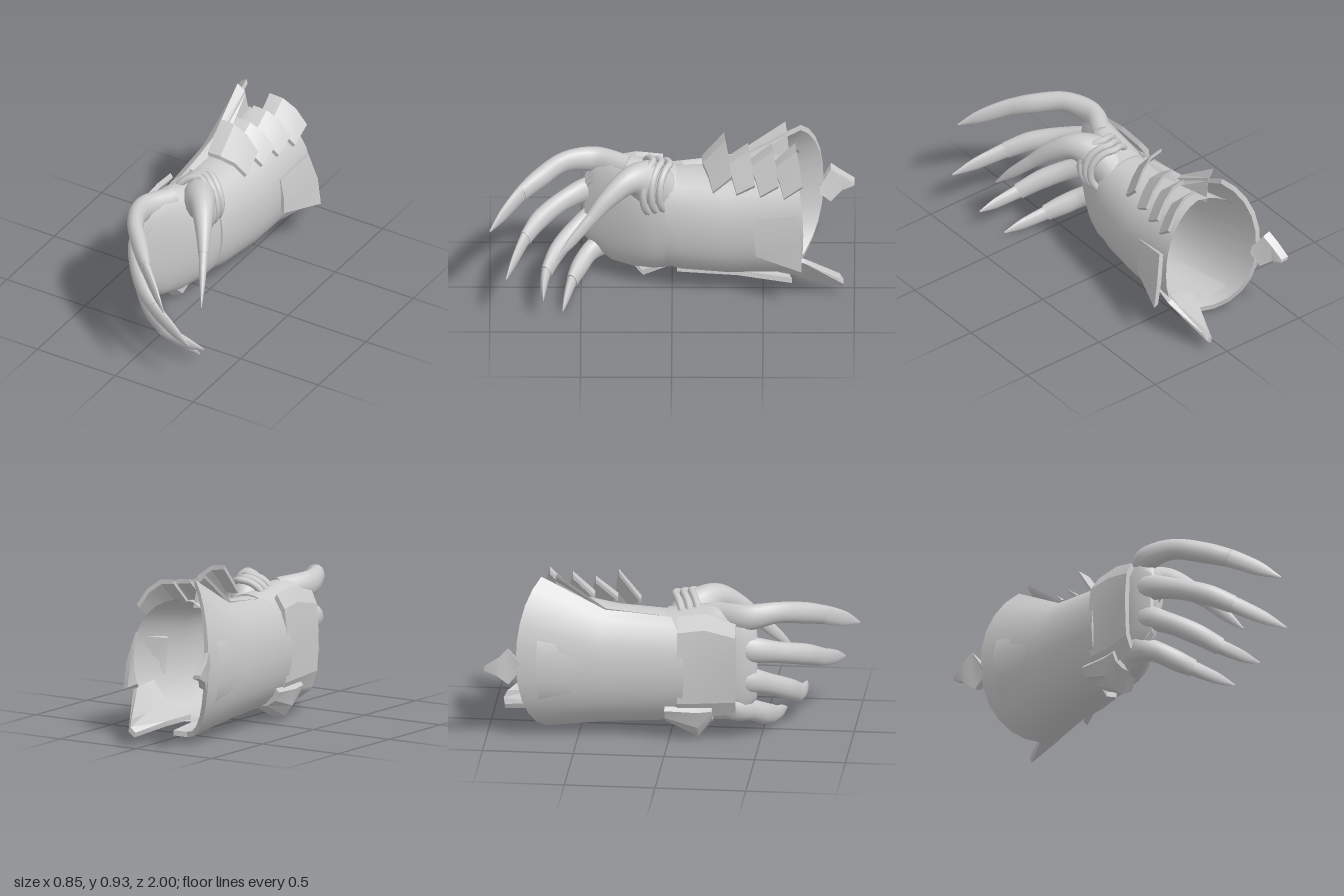
import * as THREE from 'three';
import { toCreasedNormals } from 'three/addons/utils/BufferGeometryUtils.js';

const V = (x, y, z) => new THREE.Vector3(x, y, z);
const material = new THREE.MeshStandardMaterial({ color: 0xcccccc, side: THREE.DoubleSide });

function named(name, geometry) {
  const mesh = new THREE.Mesh(geometry, material);
  mesh.name = name;
  return mesh;
}

// Skin a list of closed rings; ends are closed by strips between opposite points
function skin(name, rings, crease, openStart = false) {
  const n = rings[0].length, index = [];
  for (let r = 0; r < rings.length - 1; r++) {
    for (let i = 0; i < n; i++) {
      const a = r * n + i, b = r * n + (i + 1) % n;
      index.push(a, b, a + n, b, b + n, a + n);
    }
  }
  const last = (rings.length - 1) * n;
  for (let i = 0; i < n / 2 - 1; i++) {
    const j = n - 1 - i;
    index.push(last + i, last + i + 1, last + j - 1, last + i, last + j - 1, last + j);
    if (!openStart) index.push(i, j - 1, i + 1, i, j, j - 1);
  }
  const geometry = new THREE.BufferGeometry().setFromPoints(rings.flat());
  geometry.setIndex(index);
  return named(name, toCreasedNormals(geometry, crease));
}

// Points from angle a0 to a1 (degrees) on an oval; bulge shifts z toward the sides
function arc([z, cx, cy, rx, ry, bulge = 0], a0, a1, count, power = 1) {
  const round = v => Math.sign(v) * Math.abs(v) ** power;
  return Array.from({ length: count + 1 }, (_, i) => {
    const a = THREE.MathUtils.degToRad(a0 + (a1 - a0) * i / count);
    const c = Math.cos(a), s = Math.sin(a);
    return V(cx + rx * round(c), cy + ry * round(s), z + bulge * Math.abs(c));
  });
}

// Closed body through ovals along z
const body = (name, sections, open) =>
  skin(name, sections.map(s => arc(s, 0, 360, 32, 0.9).slice(0, -1)), 0.9, open);

// Armour plate: rows of outer points, thickened toward the arm's axis
function plate(name, rows, thickness = 0.03, crease = 0.3) {
  const rings = rows.map(outer => {
    const inner = outer.map(p => {
      const inward = V(-0.07 - p.x, 0.43 - p.y, 0).normalize();
      return p.clone().addScaledVector(inward, thickness);
    });
    return [...outer, ...inner.reverse()];
  });
  return skin(name, rings, crease);
}

// Tapered limb through points, with [half thickness, half height] at each
function limb(name, points, sizes, steps = 20, sides = 14) {
  const path = new THREE.CatmullRomCurve3(points);
  const size = new THREE.CatmullRomCurve3(sizes.map(([w, h], i) => V(w, h, i)));
  const rings = [];
  for (let k = 0; k <= steps; k++) {
    const p = path.getPoint(k / steps), s = size.getPoint(k / steps);
    const tangent = path.getTangent(k / steps);
    const side = V(0, 1, 0).cross(tangent).normalize();
    const up = tangent.clone().cross(side);
    rings.push(Array.from({ length: sides }, (_, i) => {
      const a = i / sides * Math.PI * 2;
      return p.clone().addScaledVector(side, Math.cos(a) * s.x).addScaledVector(up, Math.sin(a) * s.y);
    }));
  }
  return skin(name, rings, 0.8);
}

// Digit: fleshy part through the bones, then a claw curving on to the tip
function digit(name, bones, tip, sizes, clawHeight) {
  const group = new THREE.Group();
  group.name = name;
  const [previous, base] = bones.slice(-2);
  const start = base.clone().lerp(previous, 0.3);
  const bend = base.clone().lerp(tip, 0.52).addScaledVector(base.clone().sub(previous), 0.12);
  group.add(limb('phalanges', bones, sizes, 24));
  group.add(limb('claw', [start, base, bend, tip],
    [[0.025, clawHeight * 0.9], [0.026, clawHeight], [0.016, clawHeight * 0.78], [0.002, 0.006]]));
  return group;
}

export function createModel() {
  const model = new THREE.Group();
  model.name = 'clawedGauntlet';
  const add = part => model.add(part);

  // Forearm sleeve, open at the back
  add(body('forearm', [
    [-0.64, -0.08, 0.45, 0.285, 0.34, -0.08],
    [-0.3, -0.07, 0.41, 0.24, 0.31],
    [-0.05, -0.08, 0.41, 0.21, 0.3],
    [0.04, -0.08, 0.42, 0.185, 0.29],
  ], true));

  // Palm
  add(body('palm', [
    [-0.02, -0.08, 0.42, 0.185, 0.3],
    [0.1, -0.09, 0.42, 0.175, 0.32],
    [0.22, -0.11, 0.43, 0.14, 0.335],
    [0.33, -0.14, 0.44, 0.105, 0.33],
    [0.42, -0.165, 0.45, 0.075, 0.28],
    [0.48, -0.165, 0.44, 0.03, 0.2],
  ]));

  // Four fingers, top to bottom
  const fingerSizes = [[0.06, 0.075], [0.056, 0.075], [0.046, 0.06], [0.044, 0.06], [0.03, 0.053]];
  add(digit('finger', [V(-0.1, 0.7, 0.24), V(-0.175, 0.715, 0.42), V(-0.12, 0.73, 0.59), V(0, 0.69, 0.73),
    V(0.09, 0.65, 0.825)], V(0.31, 0.53, 1), fingerSizes, 0.053));
  add(digit('finger', [V(-0.15, 0.53, 0.26), V(-0.18, 0.53, 0.44), V(-0.11, 0.495, 0.59), V(0.02, 0.44, 0.73),
    V(0.13, 0.388, 0.805)], V(0.42, 0.29, 0.91), fingerSizes, 0.05));
  add(digit('finger', [V(-0.15, 0.36, 0.26), V(-0.18, 0.355, 0.42), V(-0.11, 0.31, 0.53), V(0.01, 0.24, 0.63),
    V(0.13, 0.175, 0.69)], V(0.39, 0.145, 0.705), fingerSizes, 0.045));
  add(digit('finger', [V(-0.15, 0.22, 0.24), V(-0.18, 0.19, 0.37), V(-0.13, 0.16, 0.45), V(-0.04, 0.11, 0.51),
    V(0.05, 0.073, 0.55)], V(0.3, 0.022, 0.6), fingerSizes, 0.045));

  // Thumb
  add(digit('thumb', [V(-0.02, 0.6, 0.04), V(0.02, 0.69, 0.14), V(0.09, 0.73, 0.23), V(0.17, 0.66, 0.35),
    V(0.225, 0.57, 0.44)], V(0.33, 0.36, 0.635),
  [[0.09, 0.11], [0.095, 0.12], [0.07, 0.08], [0.045, 0.057], [0.028, 0.04]], 0.038));

  // Folded bands curling round the base of the thumb
  for (let i = 0; i < 3; i++) {
    const path = arc([0.01 + i * 0.045, -0.01, 0.645, 0.125, 0.14 + i * 0.008, 0.06], 165, -70, 12);
    add(named('thumbBand', new THREE.TubeGeometry(new THREE.CatmullRomCurve3(path), 28, 0.02, 8)));
  }

  // Large guard wrapping the outer side and the underside of the forearm
  add(plate('outerGuard', [
    [-0.62, -0.07, 0.49, 0.295, 0.47, -0.21],
    [-0.35, -0.08, 0.415, 0.245, 0.355, -0.03],
    [-0.05, -0.08, 0.405, 0.22, 0.325, 0.14],
  ].map(s => arc(s, 114, 280, 12, 0.95)), 0.03, 0.65));

  // Ridge folded in from the guard's upper edge
  add(plate('guardRidge', [
    [V(-0.2, 0.94, -0.62), V(-0.16, 0.9, -0.63), V(-0.14, 0.77, -0.64)],
    [V(-0.19, 0.745, -0.35), V(-0.16, 0.735, -0.35), V(-0.13, 0.71, -0.35)],
    [V(-0.17, 0.71, -0.06), V(-0.15, 0.7, -0.06), V(-0.13, 0.68, -0.06)],
  ], 0.02));

  // Plate on the back of the hand, and the pointed one below it
  add(plate('handPlate', [
    [0.05, -0.08, 0.43, 0.215, 0.32],
    [0.2, -0.09, 0.44, 0.19, 0.33],
    [0.37, -0.145, 0.43, 0.14, 0.29],
  ].map(s => arc(s, 120, 235, 4, 0.6))));
  add(plate('heelPlate', [
    [-0.02, -0.15, 0.2, 0.135, 0.1],
    [0.16, -0.15, 0.2, 0.125, 0.195],
    [0.24, -0.16, 0.2, 0.11, 0.09],
  ].map(s => arc(s, 185, 305, 4))));

  // Scales on top of the forearm, each flaring toward the elbow
  for (let i = 0; i < 4; i++) {
    const z = -0.15 - i * 0.13, x = -0.08 + i * 0.025;
    const rise = i ? 0.43 + i * 0.015 : 0.5;
    add(plate('forearmScale', [
      arc([z, x, 0.43, 0.24, 0.35, -0.1], 98, 42, 3),
      arc([z - 0.13, x, 0.43, 0.26, rise, -0.06], 95, 42, 3),
    ], 0.025));
  }

  // Panel on the inner side and the pointed flare at the elbow
  add(plate('sidePanel', [
    [V(0.18, 0.53, -0.45), V(0.2, 0.42, -0.45), V(0.195, 0.31, -0.46)],
    [V(0.22, 0.58, -0.68), V(0.26, 0.42, -0.71), V(0.28, 0.26, -0.71)],
  ]));
  add(plate('elbowSpike', [
    [V(-0.08, 0.11, -0.58), V(0.08, 0.15, -0.58), V(0.18, 0.3, -0.6)],
    [V(-0.02, 0.09, -0.74), V(0.11, 0.13, -0.76), V(0.2, 0.27, -0.73)],
    [V(0.06, 0.05, -0.93), V(0.09, 0.08, -0.94), V(0.1, 0.12, -0.92)],
  ]));

  // Loose shard behind the outer guard
  add(plate('rearShard', [
    [V(-0.365, 0.47, -0.81), V(-0.355, 0.42, -0.81)],
    [V(-0.395, 0.57, -0.87), V(-0.375, 0.35, -0.87)],
    [V(-0.415, 0.52, -0.92), V(-0.41, 0.41, -0.93)],
    [V(-0.425, 0.46, -1), V(-0.42, 0.44, -1)],
  ], 0.045));

  return model;
}
